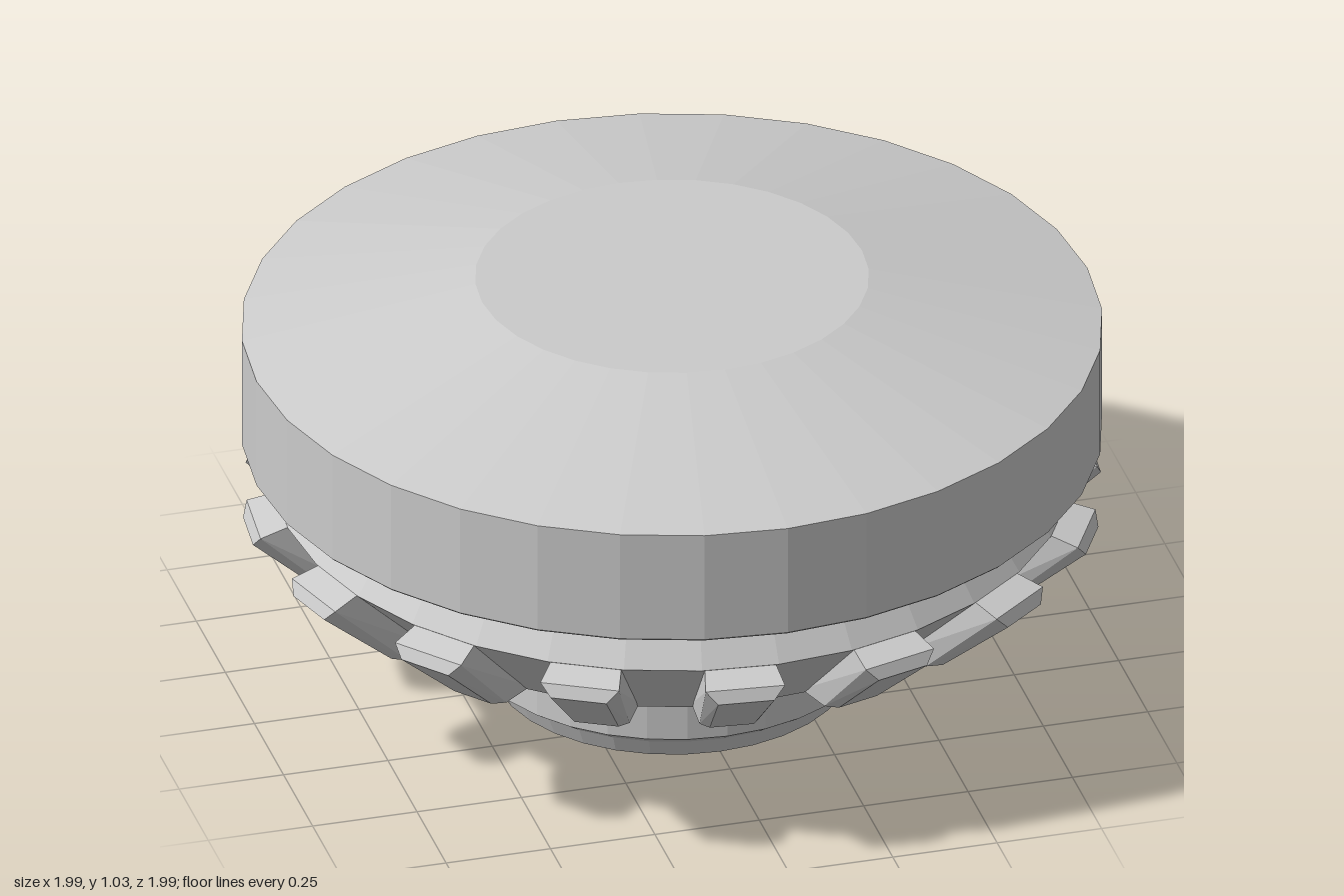
import * as THREE from 'three';
import { ConvexGeometry } from 'three/addons/geometries/ConvexGeometry.js';

const SIDES = 32;
const TEETH = 16;

export function createModel() {
  const model = new THREE.Group();
  model.name = 'bevelGear';
  const material = new THREE.MeshStandardMaterial({ color: 0xcccccc, flatShading: true });

  // Turned part from [radius, height] pairs, listed from bottom to top
  function turned(name, profile) {
    const points = profile.map(([r, y]) => new THREE.Vector2(r, y));
    const mesh = new THREE.Mesh(new THREE.LatheGeometry(points, SIDES), material);
    mesh.name = name;
    model.add(mesh);
  }

  // Hub with a shallow recess in its underside
  turned('hub', [
    [0, 0.03], [0.385, 0.03], [0.395, 0], [0.415, 0], [0.435, 0.045],
    [0.478, 0.075], [0.478, 0.185],
  ]);

  // Conical gear body and the waist beneath the cap
  turned('gearBody', [
    [0.478, 0.185], [0.69, 0.28], [0.92, 0.505], [0.87, 0.575], [0.865, 0.62],
  ]);

  // Wide cap with a sloping top and flat centre
  turned('cap', [
    [0.865, 0.615], [0.88, 0.615], [0.99, 0.625], [0.995, 0.63],
    [0.995, 0.905], [0.455, 1.033], [0, 1.033],
  ]);

  // One tooth: [half width, height, radius] at the root, flank and crest of both ends
  const corners = [
    [0.083, 0.505, 0.91], [0.093, 0.485, 0.98], [0.066, 0.455, 0.993],
    [0.072, 0.28, 0.67], [0.07, 0.28, 0.765], [0.052, 0.287, 0.8],
  ];
  const toothPoints = corners.flatMap(([w, y, r]) => [
    new THREE.Vector3(-w, y, r), new THREE.Vector3(w, y, r),
  ]);
  const toothGeometry = new ConvexGeometry(toothPoints);

  // Ring of teeth, turned a quarter pitch
  const teeth = new THREE.Group();
  teeth.name = 'teeth';
  for (let i = 0; i < TEETH; i++) {
    const tooth = new THREE.Mesh(toothGeometry, material);
    tooth.name = 'tooth';
    tooth.rotation.y = ((i - 0.25) / TEETH) * Math.PI * 2;
    teeth.add(tooth);
  }
  model.add(teeth);

  return model;
}
